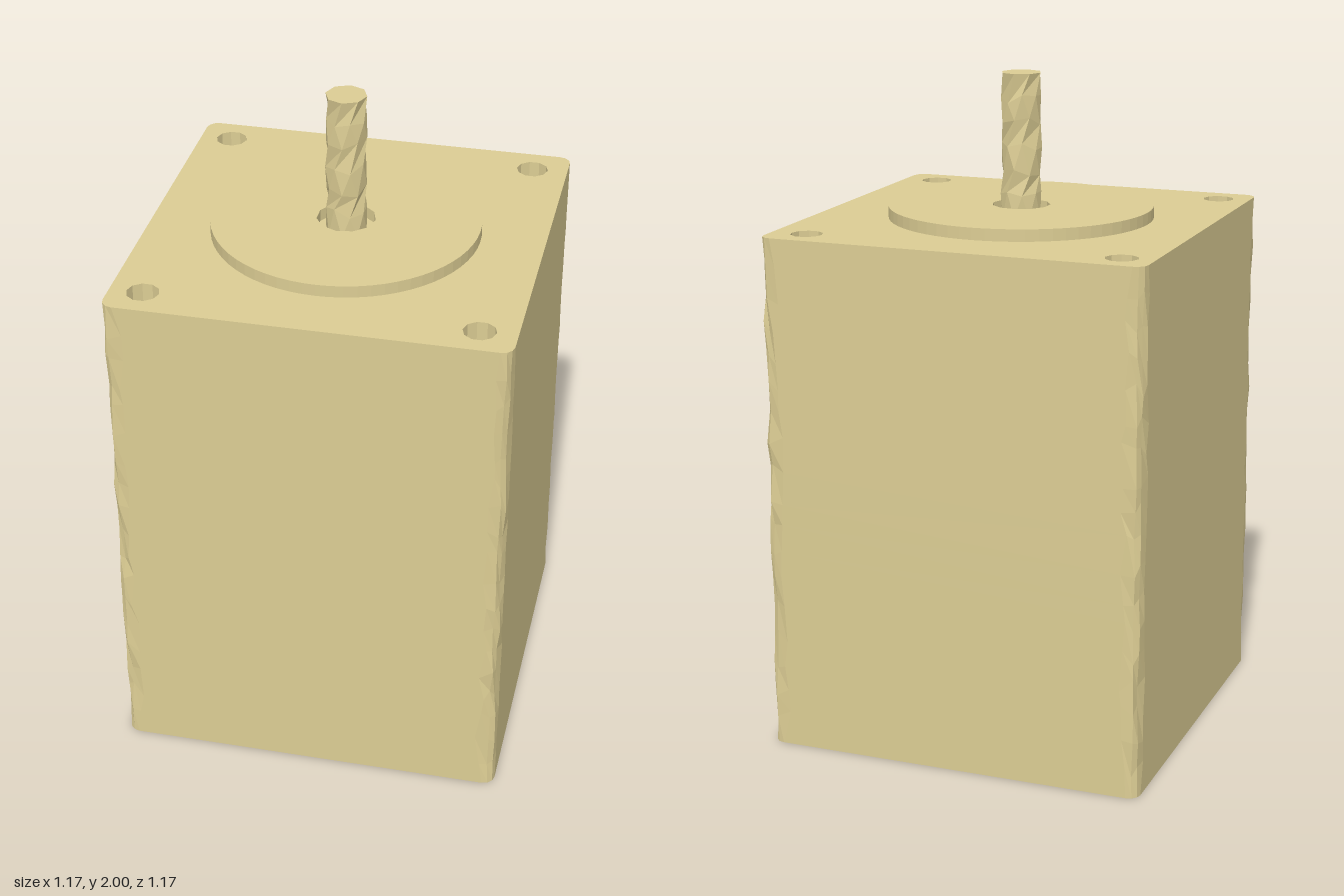
import * as THREE from 'three';

const HALF = 0.583;      // half width of the body
const CORNER = 0.035;    // corner radius
const BODY_TOP = 1.567;
const DISC_TOP = 1.603;
const AXIS_X = -0.006;   // the shaft and disc sit a hair off centre

const material = new THREE.MeshStandardMaterial({ color: 0xdccd94, flatShading: true });

// Repeatable 0..1 value from a position
function hash(x, y, z) {
  const s = Math.sin(Math.round(x * 1000) * 12.99 + Math.round(y * 1000) * 78.23 + Math.round(z * 1000) * 37.72) * 43758.55;
  return s - Math.floor(s);
}

function ring(cx, cy, radius, sides) {
  return Array.from({ length: sides }, (_, i) => {
    const a = (i / sides) * Math.PI * 2;
    return new THREE.Vector2(cx + radius * Math.cos(a), cy + radius * Math.sin(a));
  });
}

function roundedSquare() {
  const points = [];
  for (let c = 0; c < 4; c++) {
    for (let i = 0; i <= 3; i++) {
      const a = (c + i / 3) * Math.PI / 2;
      const mid = (c + 0.5) * Math.PI / 2;
      const inset = HALF - CORNER;
      points.push(new THREE.Vector2(
        Math.sign(Math.cos(mid)) * inset + CORNER * Math.cos(a),
        Math.sign(Math.sin(mid)) * inset + CORNER * Math.sin(a)));
    }
  }
  return new THREE.Shape(points);
}

// Extrude a plan shape upwards
function extrudeUp(shape, depth, steps = 1) {
  return new THREE.ExtrudeGeometry(shape, { depth, steps, bevelEnabled: false }).rotateX(-Math.PI / 2);
}

function addMesh(group, name, geometry) {
  const mesh = new THREE.Mesh(geometry, material);
  mesh.name = name;
  group.add(mesh);
  return mesh;
}

// Chip the upright corners, keeping the four flat sides in plane
function roughenCorners(geometry) {
  const p = geometry.attributes.position;
  for (let i = 0; i < p.count; i++) {
    const x = p.getX(i), y = p.getY(i), z = p.getZ(i);
    const inset = HALF - CORNER - 0.001;
    if (Math.abs(x) < inset || Math.abs(z) < inset || y < 0.01 || y > BODY_TOP - 0.01) continue;
    const h = hash(x, y, z);
    const onX = Math.abs(x) > HALF - 0.001, onZ = Math.abs(z) > HALF - 0.001;
    const pull = onX || onZ ? 1 - 0.05 * h : 1.006 - 0.018 * h;
    p.setXYZ(i, onX ? x : x * pull, y + (hash(z, x, y) - 0.5) * 0.05, onZ ? z : z * pull);
  }
  geometry.computeVertexNormals();
  return geometry;
}

export function createModel() {
  const model = new THREE.Group();
  model.name = 'electricMotor';

  // Square body with four mounting holes running right through
  const plan = roundedSquare();
  for (const sx of [-1, 1]) {
    for (const sz of [-1, 1]) {
      plan.holes.push(new THREE.Path(ring(sx * 0.48 - 0.005, sz * 0.485, 0.048, 10)));
    }
  }
  addMesh(model, 'body', roughenCorners(extrudeUp(plan, BODY_TOP, 18)));

  // Raised pilot disc with a clearance hole around the shaft
  const discPlan = new THREE.Shape(ring(0, 0, 0.4, 64));
  discPlan.holes.push(new THREE.Path(ring(0, 0, 0.088, 11)));
  const disc = addMesh(model, 'pilotDisc', extrudeUp(discPlan, DISC_TOP - BODY_TOP));
  disc.position.set(AXIS_X, BODY_TOP, 0);

  // Faceted output shaft, each row turned half a side
  const length = 2 - BODY_TOP;
  const rows = 6;
  const shaft = new THREE.CylinderGeometry(0.061, 0.061, length, 8, rows);
  const p = shaft.attributes.position;
  for (let i = 0; i < p.count; i++) {
    const x = p.getX(i), y = p.getY(i), z = p.getZ(i);
    const row = Math.round((y / length + 0.5) * rows);
    const a = (row % 2) * Math.PI / 8;
    const inner = row > 0 && row < rows;
    const s = inner ? 1.03 - 0.08 * hash(x, y, z) : 1;
    const lift = inner ? (hash(z, x, y) - 0.5) * 0.035 : 0;
    p.setXYZ(i, s * (x * Math.cos(a) - z * Math.sin(a)), y + lift, s * (x * Math.sin(a) + z * Math.cos(a)));
  }
  shaft.computeVertexNormals();
  addMesh(model, 'shaft', shaft).position.set(AXIS_X, BODY_TOP + length / 2, 0);

  return model;
}
